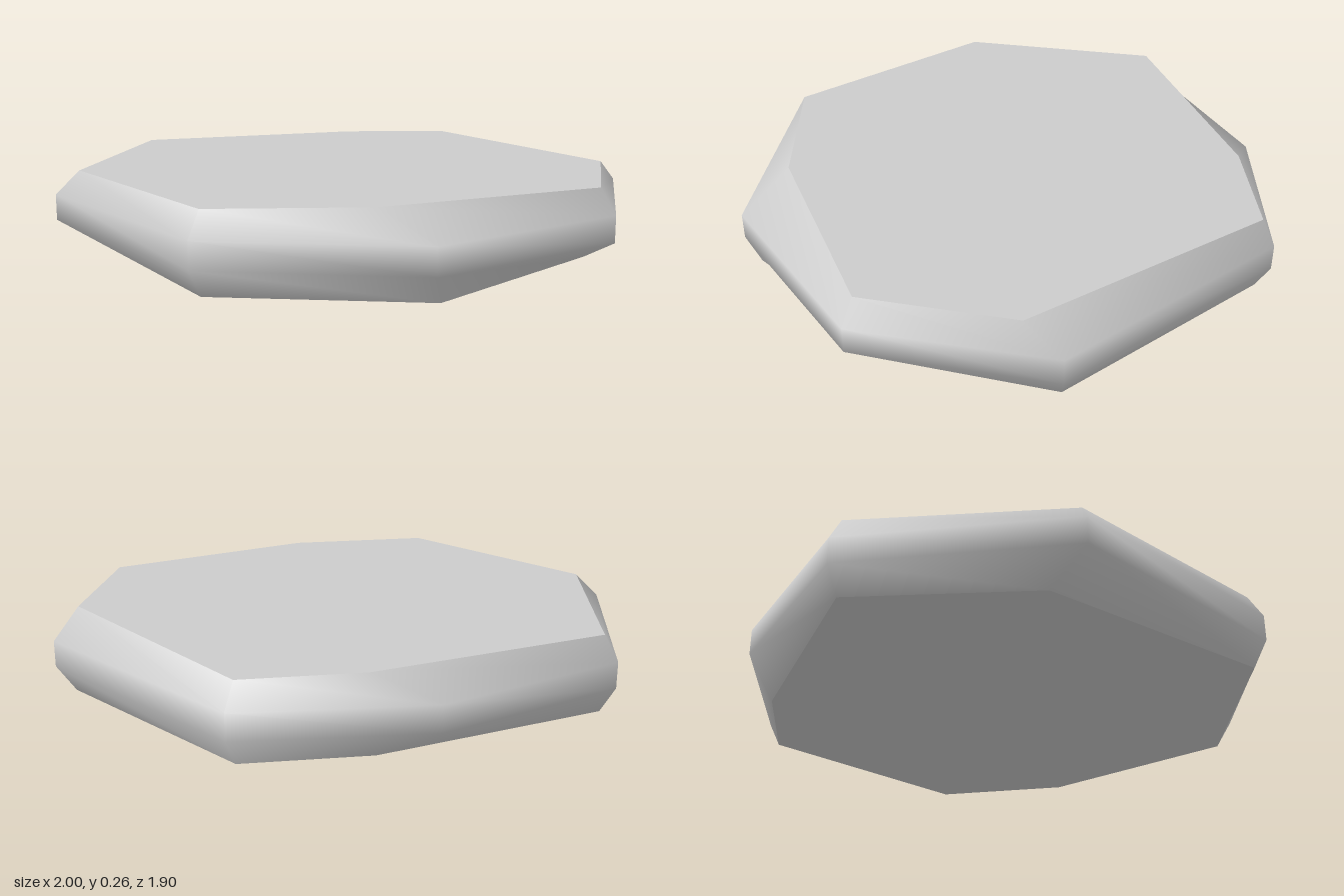
import * as THREE from 'three';

// Corner outlines as [x, z], clockwise seen from above
const rim = [[-0.15, -0.95], [0.72, -0.72], [1, -0.11], [0.77, 0.58], [0.15, 0.95], [-0.7, 0.73], [-1, 0.03], [-0.67, -0.58]];
const top = [[-0.15, -0.9], [0.73, -0.58], [0.945, -0.11], [0.55, 0.57], [0.15, 0.9], [-0.63, 0.68], [-0.95, 0.03], [-0.46, -0.65]];
const base = [[-0.15, -0.9], [0.67, -0.68], [0.845, -0.22], [0.75, 0.53], [0.15, 0.9], [-0.66, 0.58], [-0.95, 0.03], [-0.48, -0.64]];

function makeGeometry(rings, index) {
  const points = rings.flatMap(([outline, y]) => outline.flatMap(([x, z]) => [x, y, z]));
  const geometry = new THREE.BufferGeometry();
  geometry.setAttribute('position', new THREE.Float32BufferAttribute(points, 3));
  geometry.setIndex(index);
  geometry.computeVertexNormals();
  return geometry;
}

// Smooth wall joining rings from bottom to top
function wall(rings) {
  const n = rings[0][0].length;
  const index = [];
  for (let r = 0; r < rings.length - 1; r++) {
    for (let i = 0; i < n; i++) {
      const a = r * n + i;
      const b = r * n + (i + 1) % n;
      index.push(a, a + n, b + n, a, b + n, b);
    }
  }
  return makeGeometry(rings, index);
}

// Flat face closing one ring
function cap(outline, y, up) {
  const index = [];
  for (let i = 1; i < outline.length - 1; i++) {
    index.push(0, ...(up ? [i + 1, i] : [i, i + 1]));
  }
  return makeGeometry([[outline, y]], index);
}

export function createModel() {
  const group = new THREE.Group();
  group.name = 'stoneSlab';
  const stone = new THREE.MeshStandardMaterial({ color: 0xcccccc });
  stone.name = 'pale grey stone';

  const add = (name, geometry) => {
    const mesh = new THREE.Mesh(geometry, stone);
    mesh.name = name;
    group.add(mesh);
  };

  add('bevelledSide', wall([[base, 0], [rim, 0.09], [rim, 0.18], [top, 0.265]]));
  add('topFace', cap(top, 0.265, true));
  add('bottomFace', cap(base, 0, false));
  return group;
}
